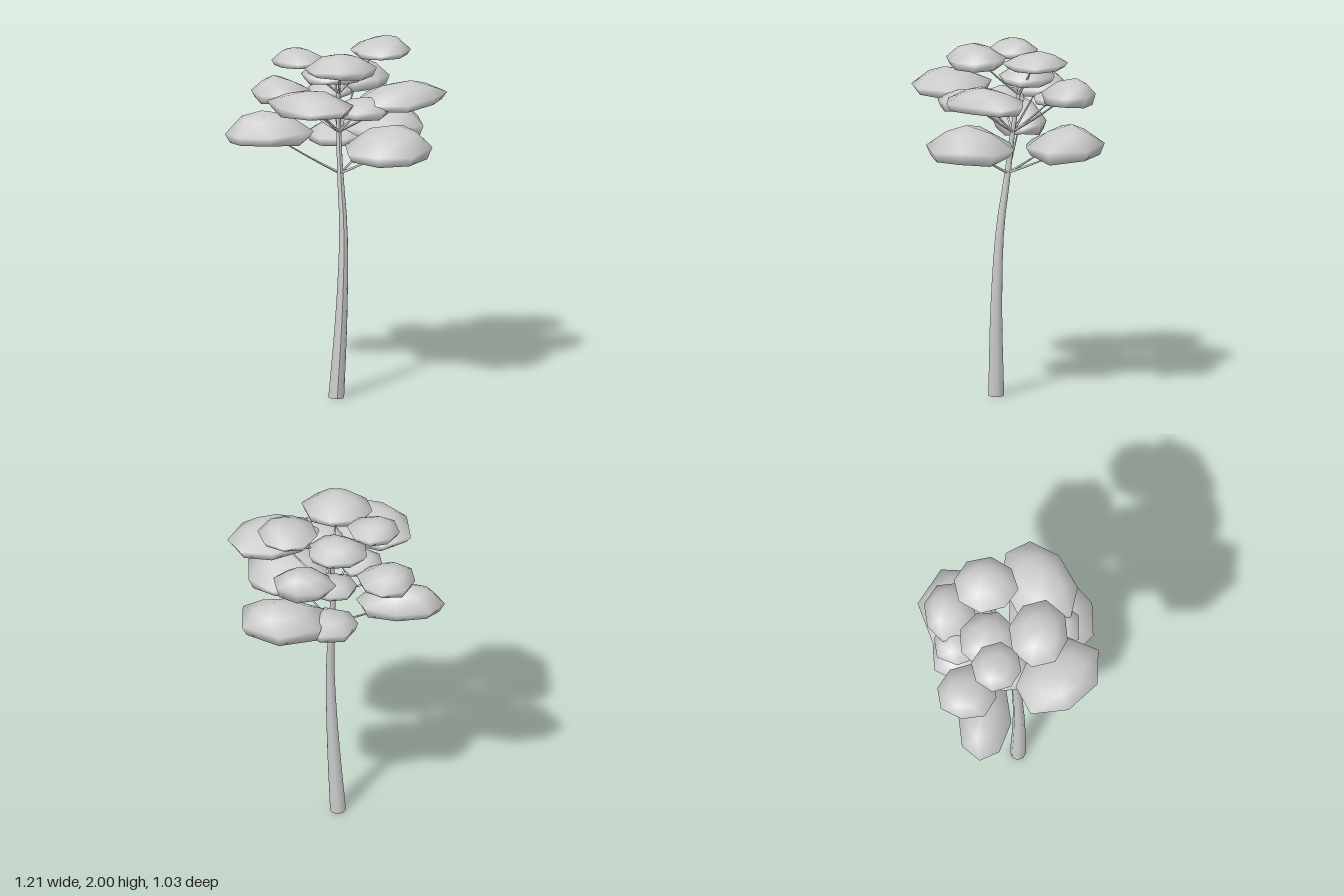
import * as THREE from 'three';

const material = new THREE.MeshStandardMaterial({ color: 0xcccccc });
const V = (x, y, z) => new THREE.Vector3(x, y, z);

// Small repeatable jitter in the range -1..1
function jitter(seed) {
  let s = seed * 7919 + 17;
  return () => {
    s = (s * 16807) % 2147483647;
    return (s / 2147483647) * 2 - 1;
  };
}

// Tapered round limb along a smooth curve
function limb(curve, r0, r1, segments, sides) {
  const geo = new THREE.TubeGeometry(curve, segments, 1, sides);
  const pos = geo.attributes.position;
  const p = V(0, 0, 0);
  for (let i = 0; i <= segments; i++) {
    const t = i / segments;
    const centre = curve.getPointAt(t);
    const r = r1 + (r0 - r1) * Math.pow(1 - t, 1.3);
    for (let j = 0; j <= sides; j++) {
      const k = i * (sides + 1) + j;
      p.fromBufferAttribute(pos, k).sub(centre).multiplyScalar(r).add(centre);
      pos.setXYZ(k, p.x, Math.max(0, p.y), p.z);
    }
  }
  geo.computeVertexNormals();
  return geo;
}

// Flattened foliage dome inside the box x0..x1, z0..z1, y0..y1;
// skew slants the outline, and the crest leans away from the trunk
function foliagePad([x0, x1, z0, z1, y0, y1, sides, phase, skew = 0], seed) {
  const rnd = jitter(seed + 1);
  const cx = (x0 + x1) / 2, cz = (z0 + z1) / 2;
  const rx = (x1 - x0) / 2, rz = (z1 - z0) / 2, h = y1 - y0;
  const rings = [[0.9, 0.05, 1], [1.02, 0.36, 1], [0.56, 0.76, 1.06]]; // radius, height, lean
  const verts = [cx, y0 + 0.15 * h, cz];
  const wobble = Array.from({ length: sides }, () => 1 + 0.04 * rnd());
  rings.forEach(([r, v, lean], n) => {
    for (let j = 0; j < sides; j++) {
      const a = phase + ((j + (n === 2 ? 0.3 : 0)) / sides) * Math.PI * 2;
      const k = r * wobble[j];
      const dx = rx * k * Math.cos(a);
      const dz = rz * k * Math.sin(a) + skew * dx;
      verts.push(cx * lean + dx, y0 + h * (v + 0.07 * rnd()), cz * lean + dz);
    }
  });
  const top = verts.length / 3;
  verts.push(cx * 1.12, y1, cz * 1.12);
  const index = [];
  for (let j = 0; j < sides; j++) {
    const k = (j + 1) % sides;
    index.push(0, 1 + j, 1 + k);
    for (let n = 0; n < 2; n++) {
      const a = 1 + n * sides + j, b = 1 + n * sides + k;
      index.push(a, a + sides, b, b, a + sides, b + sides);
    }
    index.push(1 + 2 * sides + j, top, 1 + 2 * sides + k);
  }
  const geo = new THREE.BufferGeometry();
  geo.setAttribute('position', new THREE.Float32BufferAttribute(verts, 3));
  geo.setIndex(index);
  geo.computeVertexNormals();
  return geo;
}

// Foliage tiers: height where the branches leave the trunk, then the pads
// as x0, x1, z0, z1, y0, y1, sides, phase, skew
const tiers = [
  { name: 'lower', fork: 1.26, pads: [
    [-0.6, -0.1, -0.26, 0.03, 1.42, 1.6, 8, 3.2],
    [0.02, 0.52, -0.03, 0.46, 1.39, 1.59, 8, 0.35],
    [0.05, 0.54, -0.52, -0.09, 1.39, 1.59, 6, -0.5],
    [-0.13, 0.2, -0.43, -0.11, 1.38, 1.5, 7, 0.5],
  ] },
  { name: 'middle', fork: 1.49, pads: [
    [0.11, 0.61, -0.07, 0.35, 1.68, 1.82, 8, 0, -0.25],
    [-0.4, 0.06, 0.06, 0.51, 1.68, 1.82, 7, -0.1, 0.25],
    [-0.44, -0.12, -0.38, -0.05, 1.64, 1.77, 8, 0.9],
    [0, 0.34, -0.48, -0.19, 1.67, 1.82, 8, 0.2],
    [-0.04, 0.28, 0.08, 0.39, 1.65, 1.76, 7, 0.1],
    [-0.12, 0.14, -0.42, -0.15, 1.64, 1.74, 7, 0.4],
    [-0.25, 0, -0.12, 0.14, 1.62, 1.72, 7, 0.7],
  ] },
  { name: 'upper', fork: 1.7, pads: [
    [-0.17, 0.16, -0.27, 0.04, 1.76, 1.88, 8, 0.3],
    [0.11, 0.43, -0.32, 0.03, 1.89, 2, 8, 0.1],
    [-0.34, -0.06, -0.19, 0.08, 1.87, 1.97, 8, 0.1],
    [-0.18, 0.2, 0, 0.33, 1.86, 1.99, 8, 0.15],
  ] },
];

export function createModel() {
  const tree = new THREE.Group();
  tree.name = 'tree';
  const add = (name, geo, parent = tree) => {
    const mesh = new THREE.Mesh(geo, material);
    mesh.name = name;
    parent.add(mesh);
    return mesh;
  };

  // Slightly bowed trunk with a closed foot
  const path = [
    V(0, 0, 0.05), V(0.03, 0.5, 0.052), V(0.042, 0.95, 0.032),
    V(0.03, 1.25, -0.01), V(0.025, 1.5, -0.04), V(0.03, 1.8, -0.09),
  ];
  const trunkCurve = new THREE.CatmullRomCurve3(path);
  add('trunk', limb(trunkCurve, 0.044, 0.01, 14, 8));
  const foot = add('trunkFoot', new THREE.CircleGeometry(0.043, 8).rotateX(Math.PI / 2));
  foot.position.set(0, 0.001, 0.05);

  // Trunk centre at a given height
  const trunkAt = (y) => {
    const i = path.findIndex((p) => p.y >= y);
    return path[i - 1].clone().lerp(path[i], (y - path[i - 1].y) / (path[i].y - path[i - 1].y));
  };

  // Each pad sits on its own thin branch
  let seed = 1;
  for (const tier of tiers) {
    const group = new THREE.Group();
    group.name = tier.name + 'Crown';
    tree.add(group);
    for (const pad of tier.pads) {
      add('foliagePad', foliagePad(pad, seed++), group);
      const start = trunkAt(tier.fork);
      const end = V((pad[0] + pad[1]) / 2, pad[4] + 0.05, (pad[2] + pad[3]) / 2);
      const bend = start.clone().lerp(end, 0.5);
      bend.y -= 0.015;
      const curve = new THREE.QuadraticBezierCurve3(start, bend, end);
      add('branch', limb(curve, 0.008, 0.003, 4, 5), group);
    }
  }
  return tree;
}
